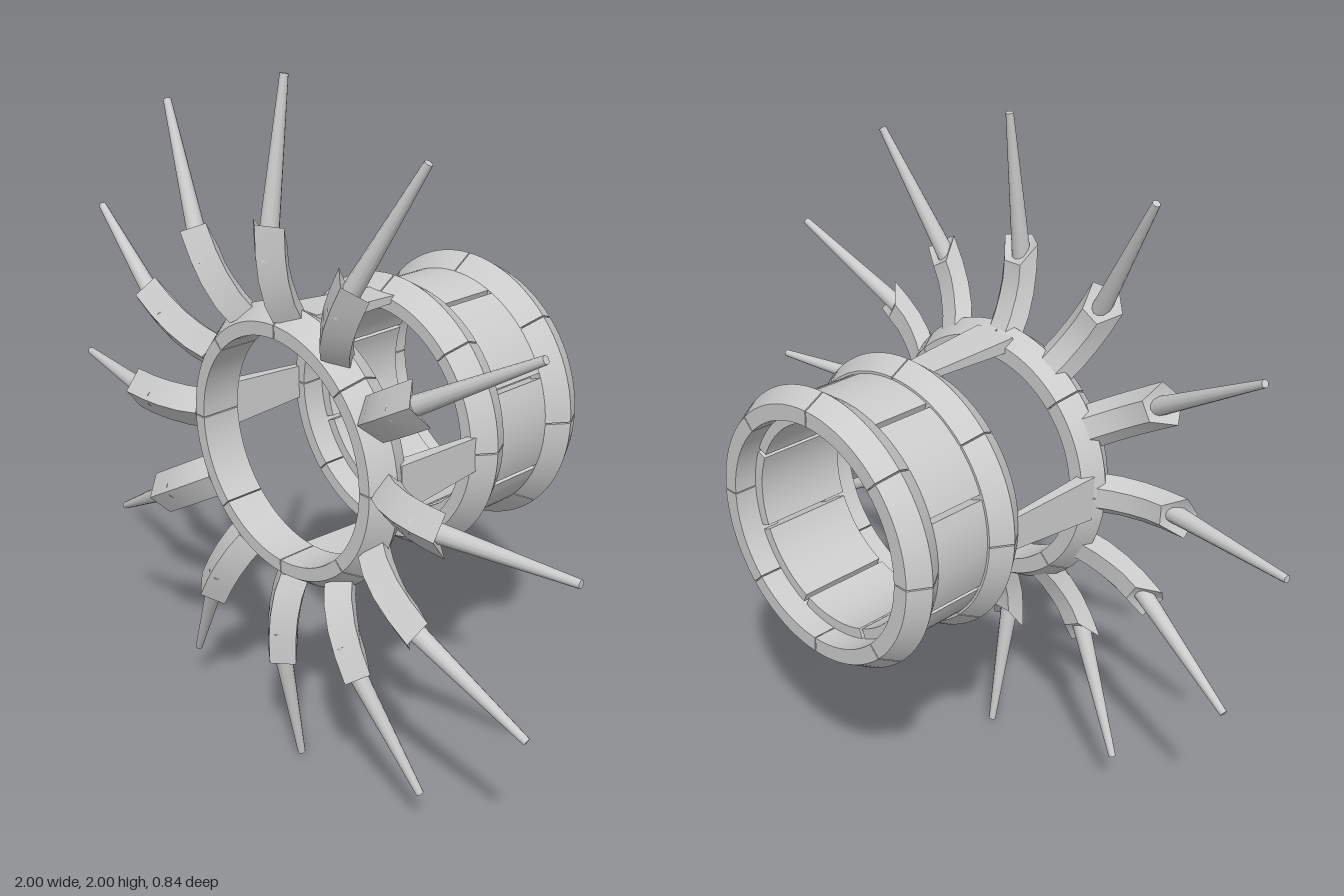
import * as THREE from 'three';
import { mergeGeometries, toCreasedNormals } from 'three/addons/utils/BufferGeometryUtils.js';

const material = new THREE.MeshStandardMaterial({ color: 0xcccccc });

function addMesh(parent, geometry, name) {
  const mesh = new THREE.Mesh(geometry, material);
  mesh.name = name;
  parent.add(mesh);
  return mesh;
}

// Solid arc around the z axis from a counter-clockwise (radius, z) profile.
function arcSolid(profile, start, length) {
  const pts = profile.map(([r, z]) => new THREE.Vector2(r, z));
  const cap = (phi, flip) => {
    const g = new THREE.ShapeGeometry(new THREE.Shape(pts)).rotateY(phi - Math.PI / 2);
    if (flip) g.index.array.reverse();
    return g;
  };
  const wall = new THREE.LatheGeometry([...pts, pts[0]], 10, start, length);
  const solid = mergeGeometries([wall, cap(start, false), cap(start + length, true)]);
  return toCreasedNormals(solid.rotateX(Math.PI / 2), 0.4);
}

// Ring of eight equal pieces with a narrow seam between neighbours.
function segmentedRing(parent, profile, offset, gap, name) {
  const ring = new THREE.Group();
  ring.name = name;
  const step = Math.PI / 4;
  for (let i = 0; i < 8; i++) {
    addMesh(ring, arcSolid(profile, offset + i * step + gap / 2, step - gap), name + 'Segment');
  }
  parent.add(ring);
}

// Ridged collar section, with its back edge at z0.
const collar = (z0) => [
  [0.325, z0], [0.37, z0], [0.405, z0 + 0.06], [0.363, z0 + 0.12], [0.325, z0 + 0.12],
];

// Curved spike holder: five-sided sections along +y, ridge facing +z.
function holderGeometry() {
  const ridge = [[0.37, 0.37], [0.42, 0.395], [0.49, 0.413], [0.56, 0.42], [0.64, 0.42]];
  const side = [[0.375, 0.32], [0.43, 0.348], [0.495, 0.366], [0.56, 0.374], [0.635, 0.375]];
  const back = [[0.385, 0.285], [0.43, 0.308], [0.48, 0.326], [0.525, 0.337], [0.575, 0.34]];
  const halfSide = 0.062, halfBack = 0.03, n = 5;
  const pos = [], index = [];
  for (let i = 0; i < ridge.length; i++) {
    pos.push(0, ...ridge[i], halfSide, ...side[i], halfBack, ...back[i],
      -halfBack, ...back[i], -halfSide, ...side[i]);
  }
  const last = (ridge.length - 1) * n;
  for (let i = 0; i < last; i += n) {
    for (let j = 0; j < n; j++) {
      const a = i + j, b = i + (j + 1) % n;
      index.push(a, b, b + n, a, b + n, a + n);
    }
  }
  for (let j = 1; j < n - 1; j++) {
    index.push(last, last + j, last + j + 1, 0, j + 1, j);
  }
  const g = new THREE.BufferGeometry();
  g.setAttribute('position', new THREE.Float32BufferAttribute(pos, 3));
  g.setIndex(index);
  return toCreasedNormals(g, 0.5);
}

// Tapered needle leaning back from the holder to the tip.
function needleGeometry() {
  const from = new THREE.Vector3(0, 0.54, 0.385), to = new THREE.Vector3(0, 0.998, 0.312);
  const dir = to.clone().sub(from);
  const g = new THREE.CylinderGeometry(0.011, 0.029, dir.length(), 12);
  g.applyQuaternion(new THREE.Quaternion().setFromUnitVectors(
    new THREE.Vector3(0, 1, 0), dir.clone().normalize()));
  const mid = from.add(to).multiplyScalar(0.5);
  return g.translate(mid.x, mid.y, mid.z);
}

// Strut that widens and thickens toward the front ring.
function strutGeometry() {
  const g = new THREE.BoxGeometry(1, 1, 1);
  const p = g.attributes.position;
  for (let i = 0; i < p.count; i++) {
    const front = p.getZ(i) > 0;
    const outer = front ? 0.387 : 0.368;
    p.setXYZ(i, p.getX(i) * (front ? 0.135 : 0.098),
      p.getY(i) > 0 ? outer : 0.348, front ? 0.28 : -0.02);
  }
  g.computeVertexNormals();
  return g;
}

export function createModel() {
  const model = new THREE.Group();
  model.name = 'spikedRing';
  const body = new THREE.Group();
  body.name = 'body';
  body.position.y = 1;
  model.add(body);

  // Rear drum: two collars joined by wall panels
  segmentedRing(body, collar(-0.42), 0, 0.01, 'rearCollar');
  segmentedRing(body, collar(-0.12), 0, 0.01, 'middleCollar');
  const panel = [[0.295, -0.35], [0.345, -0.35], [0.345, -0.31], [0.363, -0.31],
    [0.363, -0.11], [0.345, -0.11], [0.345, -0.07], [0.295, -0.07]];
  segmentedRing(body, panel, Math.PI / 8, 0.04, 'drumPanels');

  // Front ring
  segmentedRing(body, collar(0.25), 0, 0.01, 'frontRing');

  // Struts between drum and front ring
  const strut = strutGeometry();
  for (let i = 0; i < 4; i++) {
    addMesh(body, strut, 'strut').rotation.z = i * Math.PI / 2;
  }

  // Twelve radial spikes
  const holder = holderGeometry(), needle = needleGeometry();
  for (let i = 0; i < 12; i++) {
    const spike = new THREE.Group();
    spike.name = 'spike';
    addMesh(spike, holder, 'spikeHolder');
    addMesh(spike, needle, 'spikeNeedle');
    spike.rotation.z = i * Math.PI / 6;
    body.add(spike);
  }
  return model;
}
